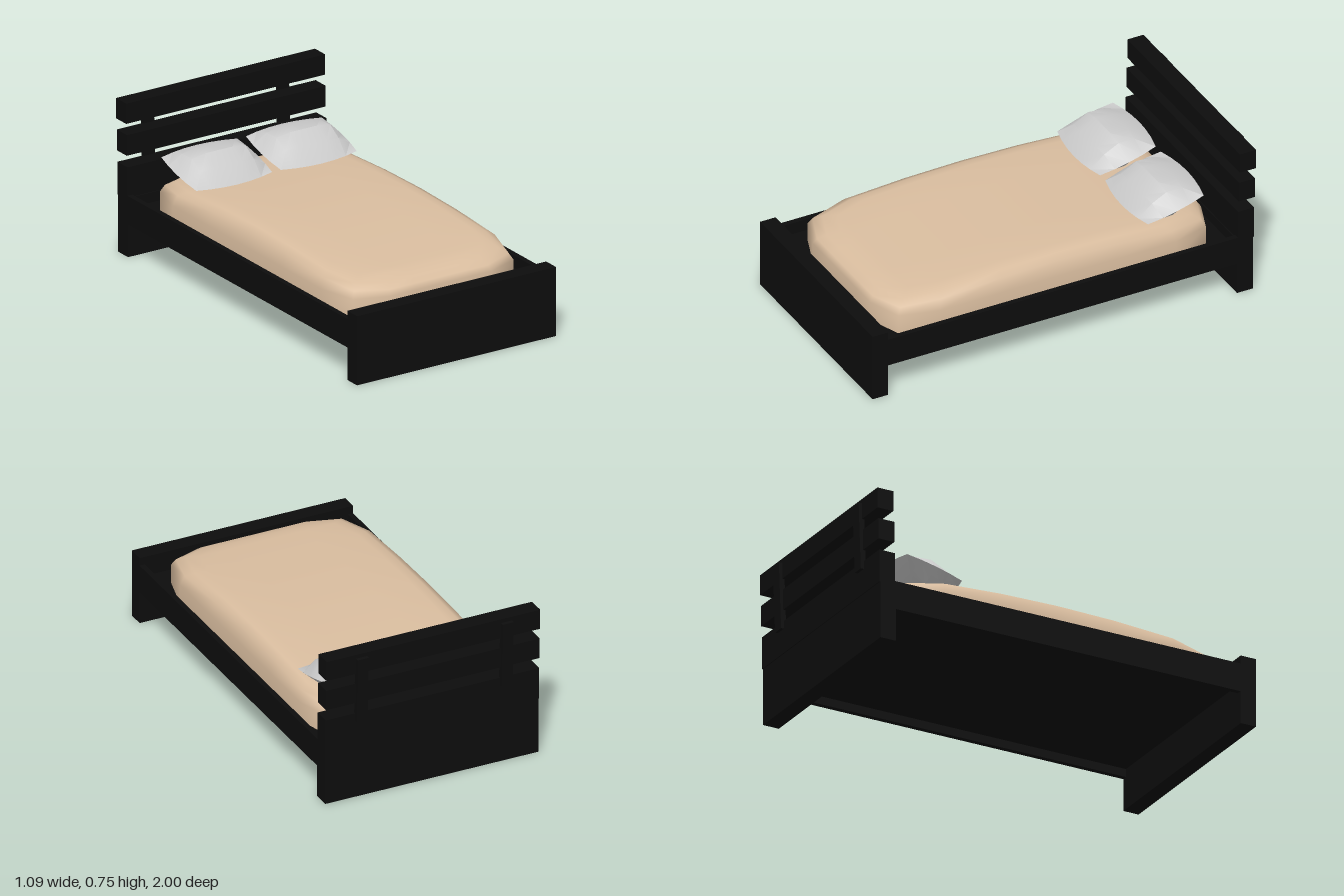
import * as THREE from 'three';
import { mergeVertices, toCreasedNormals } from 'three/addons/utils/BufferGeometryUtils.js';

const wood = new THREE.MeshStandardMaterial({ color: 0x0d0d0d });
const linen = new THREE.MeshStandardMaterial({ color: 0xd9bd9f });
const cotton = new THREE.MeshStandardMaterial({ color: 0xcccccc });

// Box given by its lower and upper bounds on each axis
function board(name, [x0, x1], [y0, y1], [z0, z1]) {
  const mesh = new THREE.Mesh(new THREE.BoxGeometry(x1 - x0, y1 - y0, z1 - z0), wood);
  mesh.position.set((x0 + x1) / 2, (y0 + y1) / 2, (z0 + z1) / 2);
  mesh.name = name;
  return mesh;
}

// Domed mattress: a chamfered plan outline lofted upward and inward to the centre line
function mattressGeometry() {
  const half = [[0.14, 0.87], [0.28, 0.87], [0.44, 0.81], [0.49, 0.62], [0.49, 0.3], [0.49, 0],
    [0.49, -0.3], [0.49, -0.6], [0.44, -0.78], [0.28, -0.84], [0.14, -0.84]];
  const outline = [[0, 0.87], ...half, [0, -0.84], ...half.map(([x, z]) => [-x, z]).reverse()];
  const top = z => 0.438 - 0.066 * z * z;
  // inset from the outline, sideways scale, height at z
  const rings = [
    [0, 1, () => 0.24],
    [0, 1, () => 0.335],
    [0.018, 1, z => top(z) - 0.03],
    [0.055, 1, z => top(z) - 0.012],
    [0.11, 1, top],
    [0.11, 0.5, top],
    [0.11, 0, top],
  ];
  const n = outline.length, positions = [], index = [];
  rings.forEach(([inset, sx, height], r) => {
    outline.forEach(([x, z], i) => {
      const pz = 0.015 + (z - 0.015) * (1 - inset / 0.855);
      positions.push(x * (1 - inset / 0.49) * sx, height(pz), pz);
      if (r === 0) return;
      const j = (i + 1) % n, a = (r - 1) * n, b = r * n;
      index.push(a + i, a + j, b + j, a + i, b + j, b + i);
    });
  });
  const geometry = new THREE.BufferGeometry();
  geometry.setAttribute('position', new THREE.Float32BufferAttribute(positions, 3));
  geometry.setIndex(index);
  const merged = mergeVertices(geometry);
  merged.computeVertexNormals();
  return merged;
}

// Pillow: a box squeezed to a seam at its edges, with bulging sides and pointed corners
function pillowGeometry() {
  const box = new THREE.BoxGeometry(2, 2, 2, 6, 1, 4);
  box.deleteAttribute('normal');
  box.deleteAttribute('uv');
  const p = box.attributes.position;
  for (let i = 0; i < p.count; i++) {
    const u = p.getX(i), v = p.getZ(i), side = Math.sign(p.getY(i));
    const h = 0.082 * Math.max(0, 1 - v * v) ** 1.4 * Math.max(0, 1 - u ** 4) ** 0.8;
    p.setXYZ(i,
      0.208 * u * (1 + 0.06 * (1 - v * v)),
      side * h,
      0.148 * v * (1 + 0.18 * (1 - u * u)));
  }
  return toCreasedNormals(mergeVertices(box), 0.6);
}

export function createModel() {
  const model = new THREE.Group();
  model.name = 'bed';
  const width = [-0.545, 0.545];

  // Footboard and headboard
  model.add(board('footboard', width, [0, 0.34], [0.92, 1]));
  model.add(board('headboardBase', width, [0, 0.29], [-0.968, -0.885]));
  model.add(board('headboardPanel', width, [0.28, 0.44], [-0.973, -0.89]));
  model.add(board('lowerSlat', width, [0.495, 0.597], [-0.978, -0.895]));
  model.add(board('upperSlat', width, [0.65, 0.75], [-0.983, -0.9]));

  // Side rails and the posts that carry the slats, leaning slightly back
  for (const s of [1, -1]) {
    const x = s * 0.532;
    model.add(board('sideRail', [x - 0.013, x + 0.013], [0.16, 0.3], [-0.89, 0.925]));
    const px = s * 0.37 - 0.003;
    const post = board('slatPost', [px - 0.028, px + 0.028], [0.4, 0.73], [-0.995, -0.968]);
    post.rotation.x = -0.035;
    model.add(post);
  }

  // Platform under the mattress
  model.add(board('platform', [-0.525, 0.525], [0.2, 0.24], [-0.89, 0.925]));

  const mattress = new THREE.Mesh(mattressGeometry(), linen);
  mattress.name = 'mattress';
  model.add(mattress);

  // Two pillows leaning toward the headboard
  const geometry = pillowGeometry();
  for (const s of [1, -1]) {
    const pillow = new THREE.Mesh(geometry, cotton);
    pillow.name = s > 0 ? 'leftPillow' : 'rightPillow';
    pillow.position.set(s * 0.232, 0.472, -0.625);
    pillow.rotation.x = 0.235;
    model.add(pillow);
  }
  return model;
}
